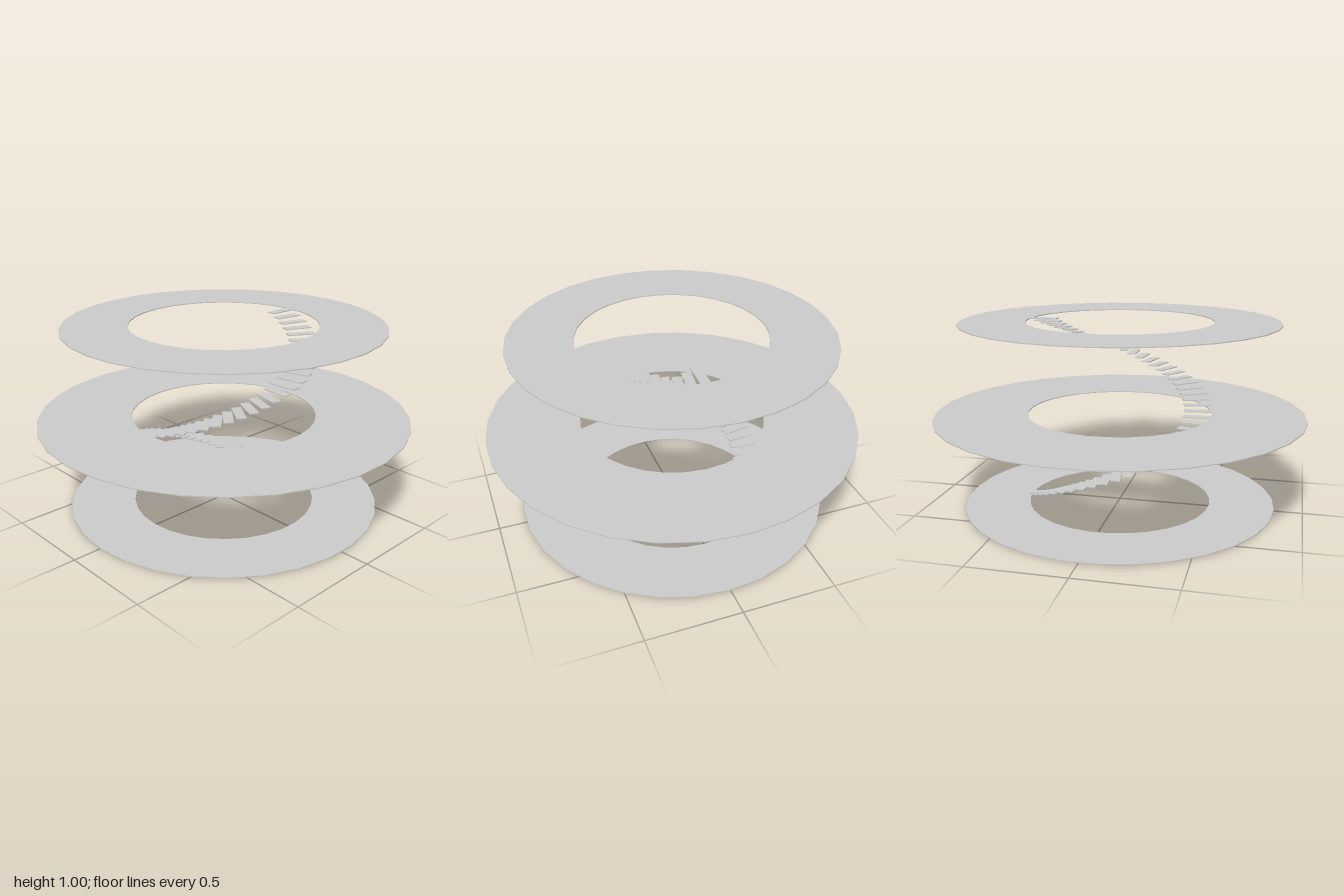
import * as THREE from 'three';

const SIDES = 30, STEPS = 50, THICK = 0.005;
const INNER = 0.5;

// Regular polygon outline with a vertex on +x
function polygon(radius) {
  return Array.from({ length: SIDES }, (_, i) => {
    const a = (i / SIDES) * Math.PI * 2;
    return new THREE.Vector2(radius * Math.cos(a), radius * Math.sin(a));
  });
}

// Thin flat floor with a round opening, lying on y = 0
function floorGeometry(radius) {
  const shape = new THREE.Shape(polygon(radius));
  shape.holes.push(new THREE.Path(polygon(INNER)));
  const geometry = new THREE.ExtrudeGeometry(shape, { depth: THICK, bevelEnabled: false });
  return geometry.rotateX(-Math.PI / 2);
}

export function createModel() {
  const model = new THREE.Group();
  model.name = 'spiralStairTower';
  const material = new THREE.MeshStandardMaterial({ color: 0xcccccc, flatShading: true });

  // Three ring floors, the middle one wider
  [['lowerFloor', 0.85, 0], ['middleFloor', 1, 0.5], ['upperFloor', 0.85, 1]].forEach(([name, radius, y]) => {
    const floor = new THREE.Mesh(floorGeometry(radius), material);
    floor.name = name;
    floor.position.y = y - (y / 2) * THICK;
    model.add(floor);
  });

  // Floating treads winding once around the opening
  const stairs = new THREE.Group();
  stairs.name = 'stairs';
  const tread = new THREE.BoxGeometry(0.15, THICK, 0.05).translate(INNER - 0.075, 0, 0);
  for (let i = 1; i <= STEPS; i++) {
    const step = new THREE.Mesh(tread, material);
    step.name = `step${i}`;
    step.position.y = i / STEPS;
    step.rotation.y = i * 0.125;
    stairs.add(step);
  }
  model.add(stairs);
  return model;
}
